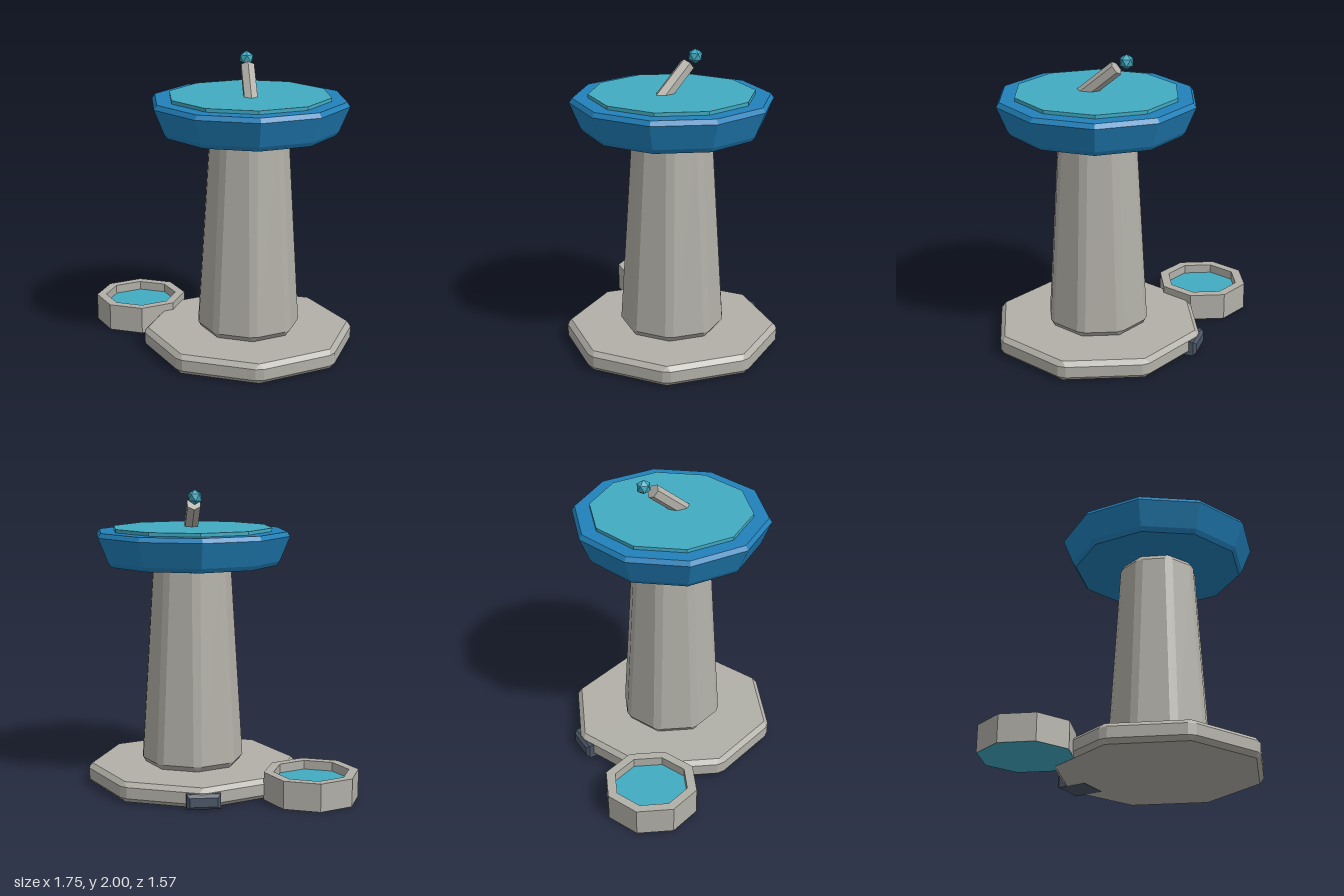
import * as THREE from 'three';

const material = (name, color) => {
  const m = new THREE.MeshStandardMaterial({ color, flatShading: true });
  m.name = name;
  return m;
};

// Faceted solid from rings [radius, y, cornerCut]; corner 0 points to +z.
function loft(sides, rings, { bottom = true, top = true } = {}) {
  const half = Math.PI / sides;
  const loops = rings.map(([r, y, cut = 0]) => {
    const loop = [];
    for (let i = 0; i < sides; i++) {
      const a = 2 * half * i, s = Math.sin(a), c = Math.cos(a);
      for (const side of [-1, 1]) {
        const t = side * cut * Math.cos(half), d = r - cut * Math.sin(half);
        loop.push(new THREE.Vector3(s * d + c * t, y, c * d - s * t));
      }
    }
    return loop;
  });
  const pos = [];
  const tri = (a, b, c) => {
    const area = b.clone().sub(a).cross(c.clone().sub(a)).length();
    if (area > 1e-9) for (const p of [a, b, c]) pos.push(p.x, p.y, p.z);
  };
  const n = sides * 2;
  for (let k = 0; k + 1 < loops.length; k++) {
    const lo = loops[k], hi = loops[k + 1];
    for (let i = 0; i < n; i++) {
      const j = (i + 1) % n;
      tri(lo[i], lo[j], hi[j]);
      tri(lo[i], hi[j], hi[i]);
    }
  }
  const first = loops[0], last = loops[loops.length - 1];
  for (let i = 0; i < n; i++) {
    const j = (i + 1) % n;
    if (bottom) tri(new THREE.Vector3(0, first[0].y, 0), first[j], first[i]);
    if (top) tri(new THREE.Vector3(0, last[0].y, 0), last[i], last[j]);
  }
  const g = new THREE.BufferGeometry();
  g.setAttribute('position', new THREE.Float32BufferAttribute(pos, 3));
  g.computeVertexNormals();
  return g;
}

export function createModel() {
  const stone = material('stone', 0xb2b0a8);
  const blue = material('blueGlaze', 0x2181bb);
  const water = material('water', 0x41abc2);
  const dark = material('darkMetal', 0x4b5666);

  const model = new THREE.Group();
  model.name = 'fountain';
  const add = (parent, name, geometry, mat) => {
    const mesh = new THREE.Mesh(geometry, mat);
    mesh.name = name;
    parent.add(mesh);
    return mesh;
  };

  // Main fountain
  const main = new THREE.Group();
  main.name = 'mainFountain';
  main.position.set(0.163, 0, 0.073);
  model.add(main);

  add(main, 'base', loft(8, [
    [0.69, 0], [0.722, 0.03, 0.03], [0.722, 0.105, 0.03], [0.69, 0.135],
  ]), stone);
  add(main, 'column', loft(8, [
    [0.322, 0.135], [0.354, 0.173, 0.03], [0.274, 1.46, 0.03], [0.24, 1.5],
  ]), stone);
  add(main, 'bowl', loft(10, [
    [0.575, 1.495], [0.597, 1.525], [0.665, 1.69], [0.645, 1.72],
  ]), blue);
  add(main, 'bowlWater', loft(10, [[0.544, 1.715], [0.544, 1.743]]), water);

  // Leaning spout and the drop at its tip
  const spout = add(main, 'spout', new THREE.CylinderGeometry(0.05, 0.05, 0.36, 6), stone);
  spout.rotation.x = -0.873;
  spout.position.set(0, 1.789, 0.005);
  const ball = new THREE.IcosahedronGeometry(0.05, 0);
  ball.rotateX(-1.0172);
  add(main, 'waterDrop', ball, water).position.set(0, 1.95, -0.2);

  // Flat foot plate tucked under the back of the base
  const w = 0.09, h = 0.03;
  const outline = new THREE.Shape([
    [-w, -h], [w, -h], [w, h], [-w, h],
  ].map(([x, y]) => new THREE.Vector2(x, y)));
  const plate = new THREE.ExtrudeGeometry(outline, {
    depth: 0.2, bevelEnabled: true, bevelSegments: 1, bevelSize: 0.02, bevelThickness: 0.02,
  });
  add(main, 'footPlate', plate, dark).position.set(0, 0.049, -0.708);

  // Small side basin
  const basin = new THREE.Group();
  basin.name = 'sideBasin';
  basin.position.set(-0.563, 0, -0.473);
  model.add(basin);
  add(basin, 'basinWall', loft(8, [
    [0.315, 0], [0.315, 0.185], [0.25, 0.185], [0.25, 0.1],
  ], { bottom: false, top: false }), stone);
  add(basin, 'basinWater', loft(8, [[0.313, 0.001], [0.25, 0.125]]), water);

  return model;
}
